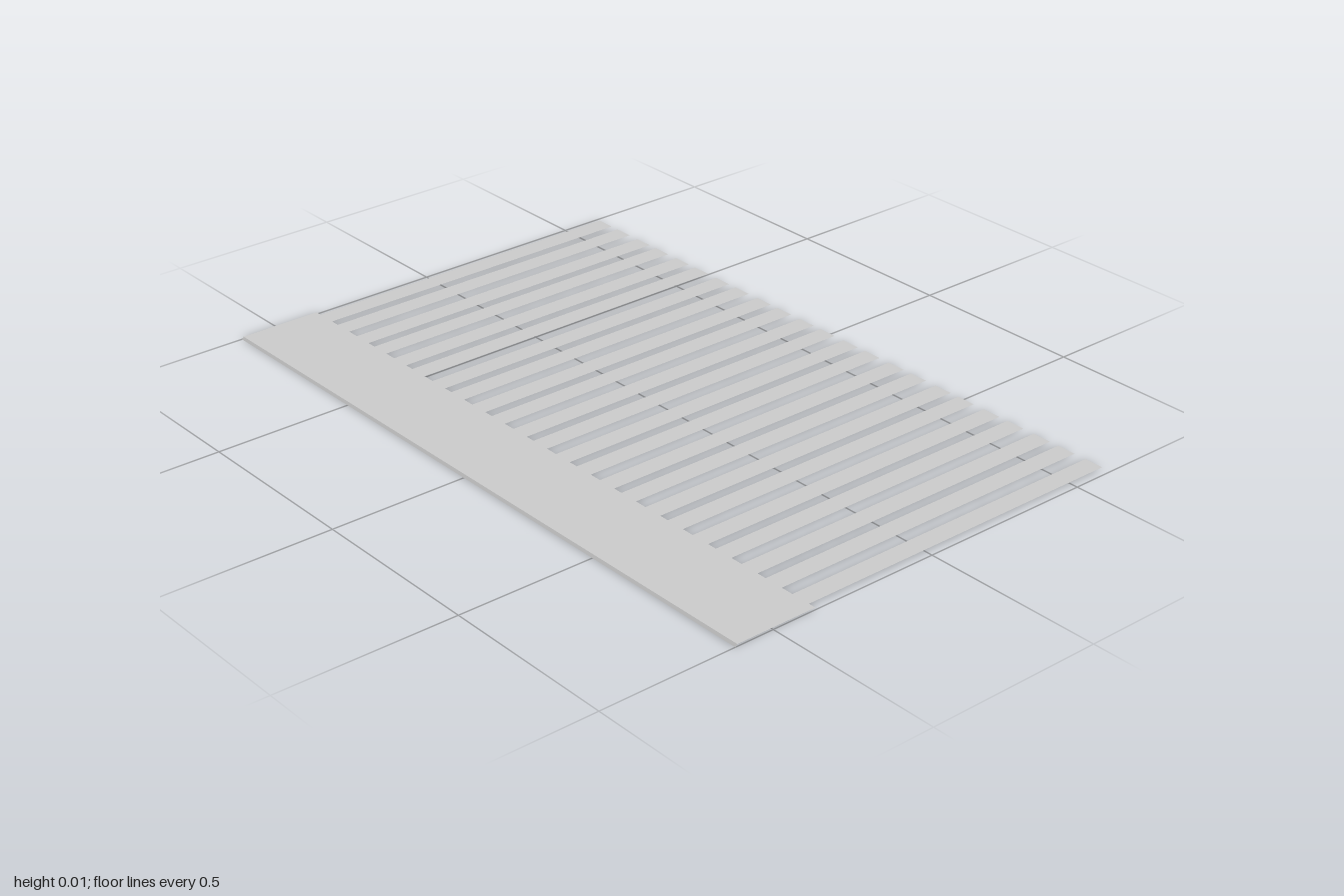
import * as THREE from 'three';

const TOP = 0.006, BACK = -0.613, ROOT = 0.372, FRONT = 0.613;

export function createModel() {
  const group = new THREE.Group();
  const material = new THREE.MeshStandardMaterial({ color: 0xcccccc, side: THREE.DoubleSide });

  // thin horizontal sheet lying at the top height
  const sheet = (name, x, width, z0, z1) => {
    const geometry = new THREE.PlaneGeometry(width, z1 - z0).rotateX(-Math.PI / 2);
    const mesh = new THREE.Mesh(geometry, material);
    mesh.position.set(x, TOP, (z0 + z1) / 2);
    mesh.name = name;
    group.add(mesh);
  };

  // solid band along the front
  sheet('band', 0, 2, ROOT, FRONT - 0.006);

  // row of slats running to the back, every other one set slightly aside
  const count = 23, pitch = 0.0865;
  for (let i = 0; i < count; i++) {
    const x = (i - (count - 1) / 2) * pitch - (i % 2 ? 0.004 : 0);
    sheet('slat', x, 0.055, BACK, ROOT);
  }

  // small lip turned down along the front edge
  const lipGeometry = new THREE.BufferGeometry();
  const y = TOP, z = FRONT - 0.006;
  lipGeometry.setAttribute('position', new THREE.Float32BufferAttribute(
    [-1, y, z, -1, 0, FRONT, 1, 0, FRONT, 1, y, z], 3));
  lipGeometry.setIndex([0, 1, 2, 0, 2, 3]);
  lipGeometry.computeVertexNormals();
  const lip = new THREE.Mesh(lipGeometry, material);
  lip.name = 'frontLip';
  group.add(lip);

  return group;
}
